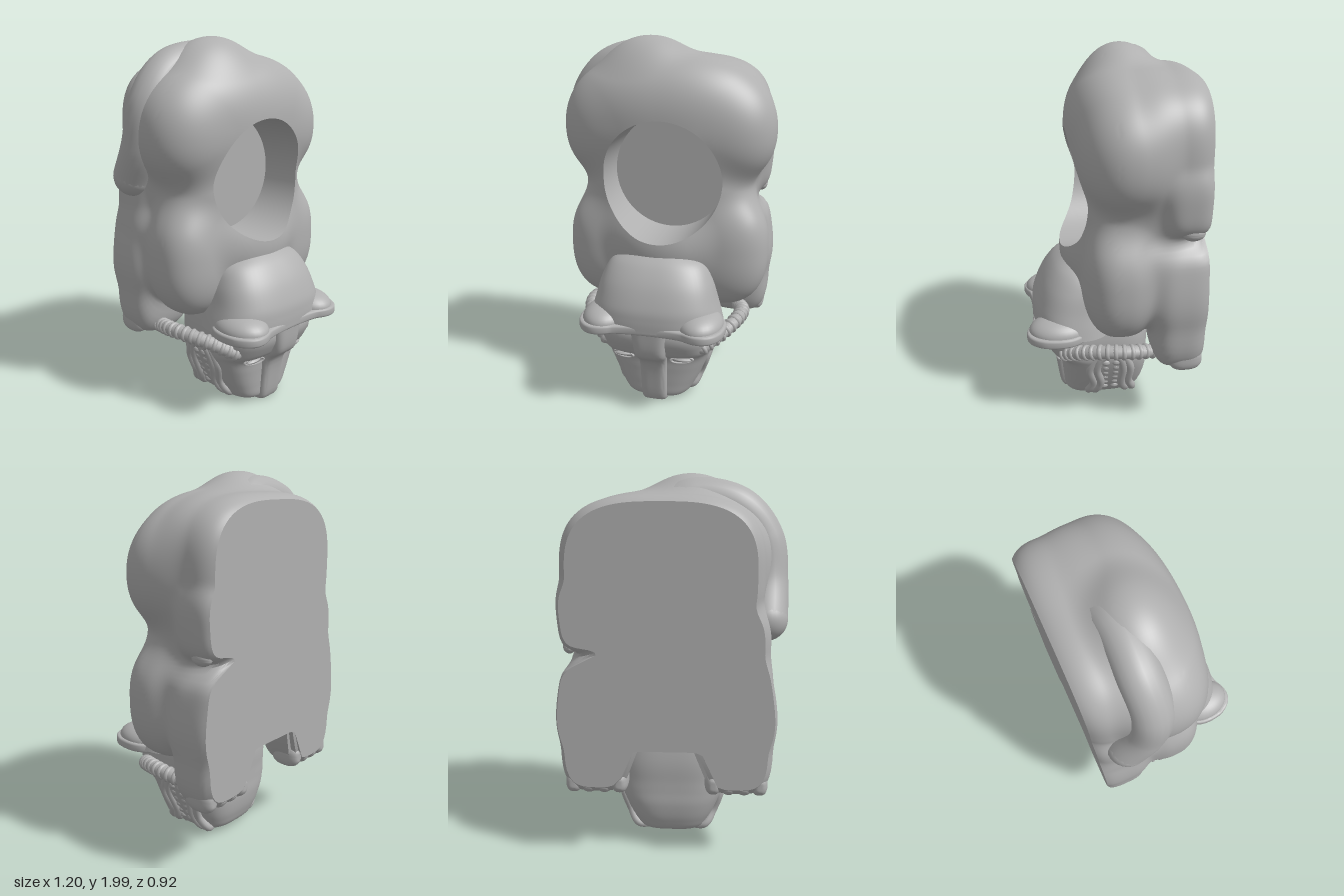
import * as THREE from 'three';
import { toCreasedNormals } from 'three/addons/utils/BufferGeometryUtils.js';

const BASE = -0.46; // flat belly plane
const PIT = { x: 0.015, y: 1.255, r: 0.325, floor: -0.11 };

// Skin a stack of closed rings (equal point counts)
function skin(rings, crease = 0.7) {
  const n = rings[0].length, index = [];
  for (let i = 0; i < rings.length - 1; i++) {
    for (let j = 0; j < n; j++) {
      const k = (j + 1) % n, a = i * n + j, b = a + n, c = i * n + n + k, d = i * n + k;
      index.push(a, b, c, a, c, d);
    }
  }
  const g = new THREE.BufferGeometry();
  g.setAttribute('position', new THREE.Float32BufferAttribute(rings.flat(2), 3));
  g.setIndex(index);
  return toCreasedNormals(g, crease);
}

// Rounded cross-sections along y: [y, halfWidth, zBack, zFront]
function loft(sections, power = 3, n = 64, smooth = 6) {
  const curve = (k) => new THREE.SplineCurve(sections.map((s) => new THREE.Vector2(s[0], s[k])));
  const curves = [curve(1), curve(2), curve(3)], steps = (sections.length - 1) * smooth, rings = [];
  for (let i = 0; i <= steps; i++) {
    const [w, b, f] = curves.map((c) => c.getPoint(i / steps));
    const ring = [], mid = (b.y + f.y) / 2, half = (f.y - b.y) / 2;
    for (let j = 0; j < n; j++) {
      const t = j / n * Math.PI * 2, c = Math.cos(t), s = Math.sin(t);
      const m = (Math.abs(c) ** power + Math.abs(s) ** power) ** (-1 / power);
      ring.push([c * m * w.y, Math.max(w.x, 0), mid + s * m * half]);
    }
    const centre = ring.map(() => [0, Math.max(w.x, 0), mid]);
    if (i === 0) rings.push(centre);
    rings.push(ring);
    if (i === steps) rings.push(centre);
  }
  return skin(rings);
}

// Superellipsoid, cut flat just above the belly plane
function blob([x, y, z], [rx, ry, rz], power = 2, n = 28) {
  const g = new THREE.SphereGeometry(1, n, n), p = g.attributes.position;
  for (let i = 0; i < p.count; i++) {
    const v = [p.getX(i), p.getY(i), p.getZ(i)];
    const m = v.reduce((s, a) => s + Math.abs(a) ** power, 0) ** (-1 / power);
    p.setXYZ(i, x + v[0] * m * rx, y + v[1] * m * ry, Math.max(BASE + 0.003, z + v[2] * m * rz));
  }
  return toCreasedNormals(g, 0.8);
}

// Masses of the body: centre, radii, power
const MASSES = [
  [[0, 1.55, -0.1], [0.565, 0.365, 0.31], 2.3], // rump
  [[-0.1, 1.76, -0.1], [0.28, 0.235, 0.21], 2], // tail base
  [[0.325, 1.49, -0.07], [0.265, 0.27, 0.23], 2.2], // thighs
  [[-0.295, 1.49, -0.07], [0.265, 0.27, 0.23], 2.2],
  [[0.035, 1.5, -0.31], [0.51, 0.395, 0.24], 3],
  [[0.41, 1.29, -0.36], [0.14, 0.165, 0.12], 3.5], // left hind foot
  [[-0.34, 1.15, -0.34], [0.17, 0.2, 0.15], 3],
  [[0.01, 1.15, -0.15], [0.48, 0.5, 0.33], 2.6], // waist
  [[0.31, 0.85, -0.04], [0.27, 0.32, 0.2], 2.5], // shoulders
  [[-0.28, 0.85, -0.04], [0.27, 0.32, 0.2], 2.5],
  [[0, 0.9, -0.1], [0.4, 0.34, 0.35], 2],
  [[0.015, 0.86, -0.34], [0.545, 0.25, 0.22], 4], // chest
  [[0.378, 0.65, -0.34], [0.188, 0.285, 0.15], 3.4], // front legs
  [[-0.35, 0.65, -0.34], [0.188, 0.285, 0.15], 3.4],
];

// Smoothly blended distance to the masses
function field(x, y, z) {
  const k = 0.05;
  let d = 9;
  for (const [c, r, p] of MASSES) {
    const q = Math.abs((x - c[0]) / r[0]) ** p + Math.abs((y - c[1]) / r[1]) ** p + Math.abs((z - c[2]) / r[2]) ** p;
    const e = (q ** (1 / p) - 1) * Math.min(...r);
    const h = Math.max(k - Math.abs(d - e), 0) / k;
    d = Math.min(d, e) - h * h * k / 4;
  }
  return d;
}

// Outermost surface distance along a ray
function reach(o, d, far = 1.1) {
  let last = 1;
  for (let t = far; t > 0; t -= 0.012) {
    const f = field(o[0] + d[0] * t, o[1] + d[1] * t, o[2] + d[2] * t);
    if (f < 0) return t + 0.012 * -f / (last - f);
    last = f;
  }
  return 0;
}

// Body rings: pit floor, pit wall, outer skin down to the belly plane
function bodyRings() {
  const n = 200, rows = 60, rings = Array.from({ length: rows + 3 }, () => []);
  for (let j = 0; j < n; j++) {
    const a = j / n * Math.PI * 2, c = Math.cos(a), s = Math.sin(a);
    const x = PIT.x + PIT.r * c, y = PIT.y + PIT.r * s;
    const rim = reach([x, y, BASE], [0, 0, 1]);
    rings[0].push([PIT.x, PIT.y, PIT.floor]);
    rings[1].push([x, y, PIT.floor]);
    rings[2].push([x, y, BASE + rim]);
    const start = Math.atan2(PIT.r, rim);
    for (let i = 1; i <= rows; i++) {
      const t = THREE.MathUtils.lerp(start, Math.PI / 2, i / rows);
      const d = [Math.sin(t) * c, Math.sin(t) * s, Math.cos(t)];
      const l = reach([PIT.x, PIT.y, BASE], d);
      rings[2 + i].push([PIT.x + d[0] * l, PIT.y + d[1] * l, BASE + d[2] * l]);
    }
  }
  return rings;
}

const path = (pts) => new THREE.CatmullRomCurve3(pts.map((p) => new THREE.Vector3(...p)));

export function createModel() {
  const model = new THREE.Group();
  const stone = new THREE.MeshStandardMaterial({ color: 0xb0b0b0 });
  stone.name = 'stone grey';
  const add = (name, geometry) => {
    const mesh = new THREE.Mesh(geometry, stone);
    mesh.name = name;
    model.add(mesh);
    return mesh;
  };

  // Body and its flat belly
  const rings = bodyRings(), edge = rings[rings.length - 1];
  add('body', skin(rings, 0.75));
  add('belly', skin([edge, edge.map(() => [PIT.x, PIT.y, BASE])]));

  // Tail wrapped over the rump and down the right flank
  const tail = [[0, 1.82, -0.2], [-0.12, 1.865, -0.17], [-0.34, 1.82, -0.17],
    [-0.465, 1.67, -0.17], [-0.49, 1.45, -0.21], [-0.485, 1.28, -0.3]];
  add('tail', new THREE.TubeGeometry(path(tail), 64, 0.11, 20));
  add('tailRoot', blob(tail[0], [0.11, 0.11, 0.11]));
  add('tailTip', blob(tail[5], [0.11, 0.11, 0.11]));

  // Left hind toes
  for (let i = 0; i < 3; i++) add('hindToe', blob([0.38 + i * 0.06, 1.15, -0.38], [0.034, 0.04, 0.06]));

  // Head, nose bridge and cap
  add('head', loft([[0.005, 0.1, -0.02, 0.2], [0.03, 0.18, -0.17, 0.24], [0.1, 0.225, -0.215, 0.25],
    [0.2, 0.27, -0.235, 0.26], [0.28, 0.3, -0.235, 0.275], [0.34, 0.31, -0.235, 0.34],
    [0.48, 0.31, -0.235, 0.37], [0.72, 0.25, -0.2, 0.2]], 3.5));
  add('noseBridge', loft([[0, 0.06, 0.08, 0.23], [0.03, 0.075, 0.08, 0.265], [0.25, 0.08, 0.08, 0.305],
    [0.34, 0.09, 0.08, 0.385], [0.49, 0.11, 0.08, 0.405]], 5));
  add('capCrown', loft([[0.49, 0.37, -0.05, 0.415], [0.55, 0.355, -0.05, 0.415], [0.62, 0.335, -0.05, 0.405],
    [0.73, 0.305, -0.05, 0.36], [0.82, 0.255, -0.05, 0.295], [0.87, 0.16, -0.03, 0.23]], 2.6));

  // Two-lobed cap brim
  const brim = new THREE.Shape();
  brim.moveTo(-0.3, 0.14);
  brim.bezierCurveTo(-0.4, 0.17, -0.4, 0.28, -0.38, 0.36);
  brim.bezierCurveTo(-0.34, 0.46, -0.27, 0.46, -0.2, 0.42);
  brim.bezierCurveTo(-0.14, 0.395, 0.14, 0.395, 0.2, 0.42);
  brim.bezierCurveTo(0.27, 0.46, 0.34, 0.46, 0.38, 0.36);
  brim.bezierCurveTo(0.4, 0.28, 0.4, 0.17, 0.3, 0.14);
  const brimGeometry = new THREE.ExtrudeGeometry(brim, {
    depth: 0.025, bevelSize: 0.012, bevelThickness: 0.012, bevelSegments: 3, curveSegments: 16 });
  add('capBrim', toCreasedNormals(brimGeometry.rotateX(Math.PI / 2).translate(0, 0.51, 0), 0.7));

  for (const s of [1, -1]) {
    // Domed top of each brim lobe
    const dome = new THREE.SphereGeometry(1, 32, 12, 0, Math.PI * 2, 0, Math.PI / 2);
    add('brimLobe', dome.scale(0.125, 0.08, 0.165).translate(s * 0.262, 0.518, 0.28));

    // Four front toes
    for (let i = 0; i < 4; i++) {
      add('frontToe', blob([s * (0.245 + i * 0.08) + 0.014, 0.43, -0.37], [0.045, 0.066, 0.09], 2.6));
    }

    // Ribbed cord looping from brow to shoulder
    const cord = path([[s * 0.27, 0.36, 0.25], [s * 0.35, 0.41, 0.18], [s * 0.42, 0.45, 0.07],
      [s * 0.445, 0.455, -0.07], [s * 0.41, 0.43, -0.21]]);
    add('cord', new THREE.TubeGeometry(cord, 48, 0.036, 12));
    for (let i = 0; i <= 13; i++) {
      const rib = add('cordRib', new THREE.TorusGeometry(0.03, 0.014, 8, 16));
      rib.position.copy(cord.getPointAt(i / 13));
      rib.quaternion.setFromUnitVectors(new THREE.Vector3(0, 0, 1), cord.getTangentAt(i / 13));
    }
    add('cordEnd', blob([s * 0.27, 0.36, 0.25], [0.036, 0.036, 0.036]));

    // Narrow eye with lids
    add('eye', blob([s * 0.165, 0.29, 0.28], [0.05, 0.012, 0.02]));
    const lids = add('eyelids', new THREE.TorusGeometry(0.06, 0.008, 8, 28));
    lids.scale.y = 0.3;
    lids.position.set(s * 0.165, 0.29, 0.285);
    lids.rotation.y = s * 0.25;

    // Arched lips around the side of the mouth
    const lip = (grow, r) => add('lip', new THREE.TubeGeometry(path([
      [0, 0.03, 0.13], [s * 0.13, 0.035, 0.1], [s * 0.2, 0.06, 0.075 + grow], [s * 0.235, 0.13, 0.05 + grow],
      [s * 0.275, 0.25, 0.075 + grow], [s * 0.295, 0.33 + grow, 0.05], [s * 0.3, 0.36 + grow, 0],
      [s * 0.295, 0.33 + grow, -0.05], [s * 0.275, 0.25, -0.075 - grow], [s * 0.235, 0.13, -0.07 - grow],
      [s * 0.19, 0.055, -0.1 - grow], [s * 0.1, 0.035, -0.1], [0, 0.03, -0.09]]), 90, r, 10));
    lip(0, 0.026);
    lip(0.04, 0.024);

    // Two rows of teeth inside the lips
    for (let i = 0; i < 6; i++) {
      const y = 0.09 + i * 0.042, x = 0.205 + i * 0.017;
      for (const z of [0.026, -0.032]) add('tooth', blob([s * x, y, z], [0.026, 0.023, 0.028], 2, 12));
    }
    for (let i = 0; i < 4; i++) add('frontTooth', blob([s * (0.025 + i * 0.045), 0.022 + i * 0.004, 0.05], [0.02, 0.02, 0.02], 2, 12));
  }
  return model;
}
